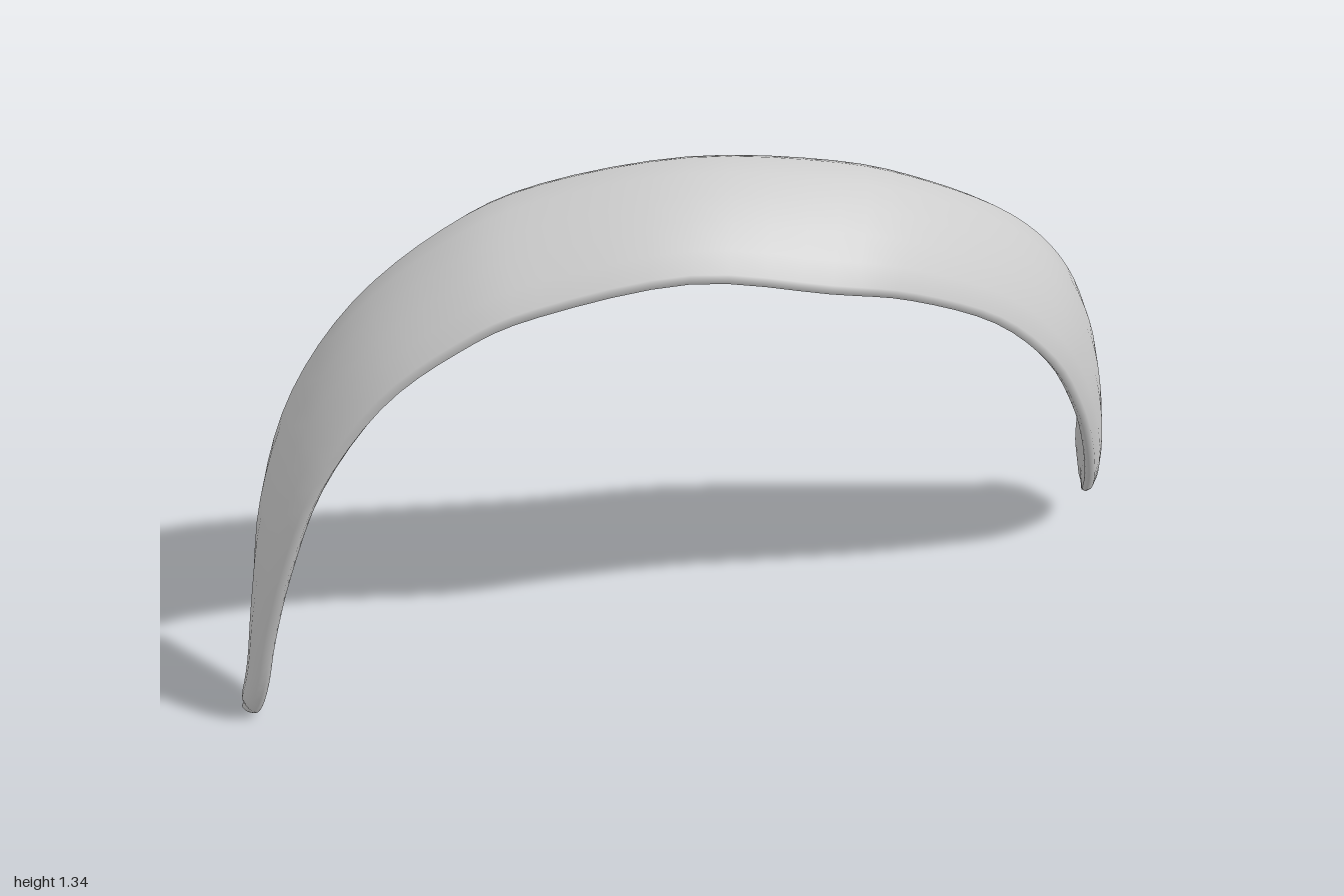
import * as THREE from 'three';

// Stations along the band: front edge x, y, z, then back edge x, y, z
const STATIONS = [
  [-0.99, 0.008, 0.295, -0.99, 0.008, 0.275],
  [-0.965, 0.04, 0.325, -0.97, 0.04, 0.252],
  [-0.932, 0.15, 0.37, -0.95, 0.15, 0.228],
  [-0.9, 0.3, 0.4, -0.93, 0.34, 0.208],
  [-0.845, 0.5, 0.428, -0.9, 0.58, 0.187],
  [-0.76, 0.73, 0.438, -0.82, 0.82, 0.18],
  [-0.62, 0.94, 0.435, -0.68, 1.035, 0.175],
  [-0.46, 1.07, 0.428, -0.49, 1.2, 0.163],
  [-0.3, 1.145, 0.417, -0.3, 1.285, 0.14],
  [0, 1.205, 0.395, 0, 1.335, 0.122],
  [0.28, 1.15, 0.352, 0.3, 1.295, 0.075],
  [0.45, 1.085, 0.28, 0.5, 1.21, 0.015],
  [0.64, 0.96, 0.18, 0.68, 1.075, -0.08],
  [0.78, 0.79, 0.088, 0.8, 0.93, -0.15],
  [0.865, 0.6, -0.01, 0.88, 0.75, -0.225],
  [0.915, 0.43, -0.105, 0.925, 0.55, -0.3],
  [0.948, 0.27, -0.2, 0.95, 0.36, -0.375],
  [0.965, 0.15, -0.3, 0.965, 0.21, -0.437],
  [0.972, 0.1, -0.37, 0.972, 0.115, -0.42],
];

// Cross-section: position across the width (0 front, 1 back), height outward
const SECTION = [
  [0, 0], [0.04, 0.014], [0.2, 0.027], [0.4, 0.035], [0.6, 0.036], [0.8, 0.03], [0.95, 0.018],
  [1, 0], [0.95, -0.014], [0.75, -0.012], [0.5, -0.008], [0.25, -0.01], [0.04, -0.01],
];

function bandGeometry(steps) {
  const edge = (k) => new THREE.CatmullRomCurve3(
    STATIONS.map((s) => new THREE.Vector3(s[k], s[k + 1], s[k + 2])), false, 'catmullrom', 0.5);
  const front = edge(0), back = edge(3);
  const n = SECTION.length, pos = [], index = [];

  for (let i = 0; i <= steps; i++) {
    const t = i / steps;
    const f = front.getPoint(t), b = back.getPoint(t);
    const across = b.clone().sub(f);
    const along = front.getTangent(t).add(back.getTangent(t));
    const out = along.cross(across).normalize();
    // thin the band slightly towards its rounded tips
    const thick = 0.45 + 0.55 * Math.min(1, Math.min(t, 1 - t) / 0.06);
    for (const [u, h] of SECTION) {
      const p = f.clone().addScaledVector(across, u).addScaledVector(out, h * thick);
      pos.push(p.x, p.y, p.z);
    }
  }
  for (let i = 0; i < steps; i++) {
    for (let j = 0; j < n; j++) {
      const a = i * n + j, b = i * n + (j + 1) % n;
      index.push(a, a + n, b, b, a + n, b + n);
    }
  }
  // close both tips
  const last = steps * n;
  for (let j = 1; j < n - 1; j++) {
    index.push(0, j, j + 1);
    index.push(last, last + j + 1, last + j);
  }
  const geo = new THREE.BufferGeometry();
  geo.setAttribute('position', new THREE.Float32BufferAttribute(pos, 3));
  geo.setIndex(index);
  geo.computeVertexNormals();
  return geo;
}

export function createModel() {
  const group = new THREE.Group();
  group.name = 'headband';
  const band = new THREE.Mesh(bandGeometry(72), new THREE.MeshStandardMaterial({ color: 0xcccccc }));
  band.name = 'band';
  group.add(band);
  return group;
}
